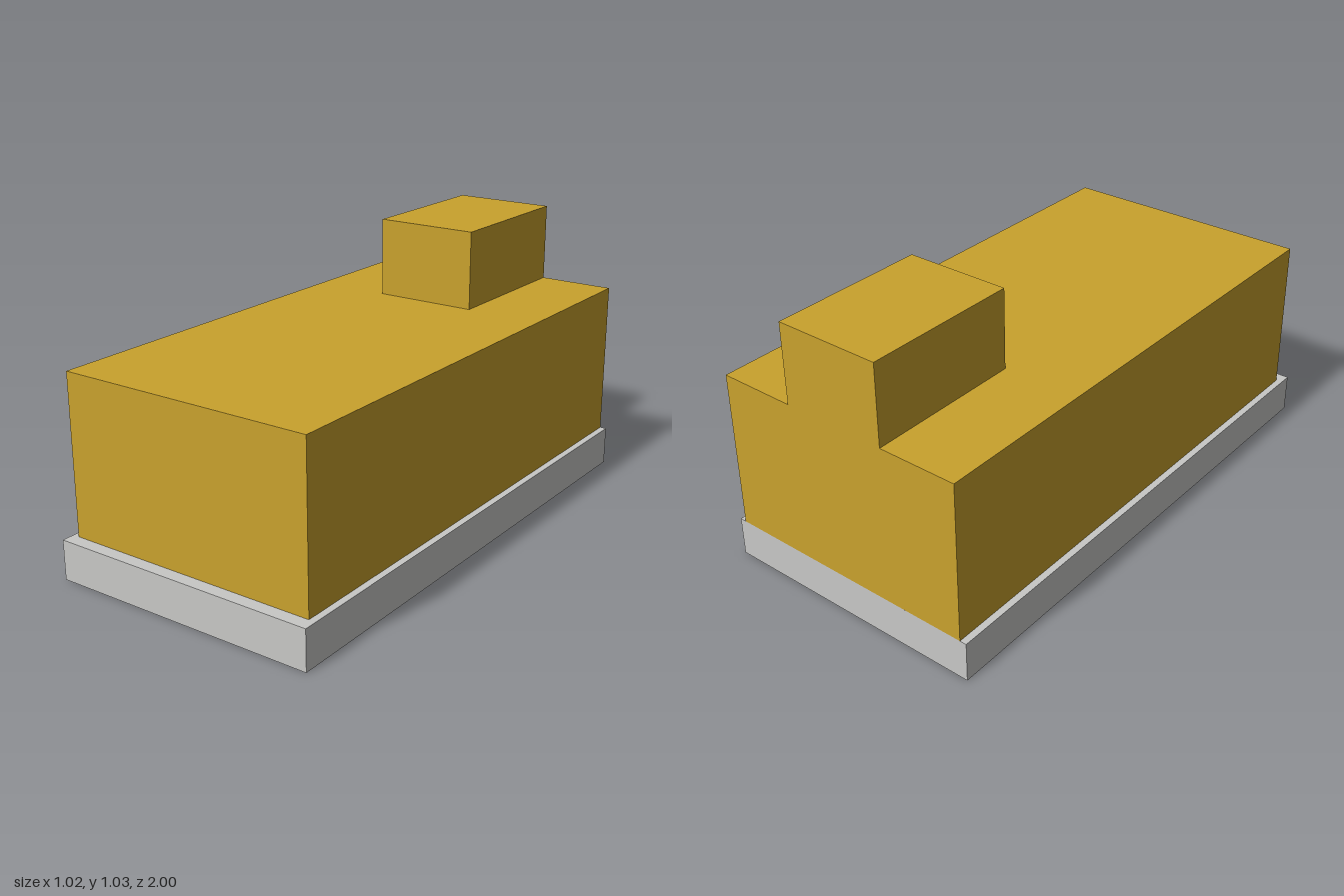
import * as THREE from 'three';

const ochre = new THREE.MeshStandardMaterial({ color: 0xc9a22d });
ochre.name = 'ochre';
const paleGrey = new THREE.MeshStandardMaterial({ color: 0xc8c8c6 });
paleGrey.name = 'pale grey';

const BACK = -1; // every block ends flush at the back

// Block centred on x, given its width, bottom, top and front
function block(name, width, bottom, top, front, material) {
  const geometry = new THREE.BoxGeometry(width, top - bottom, front - BACK);
  const mesh = new THREE.Mesh(geometry, material);
  mesh.name = name;
  mesh.position.set(0, (bottom + top) / 2, (front + BACK) / 2);
  return mesh;
}

export function createModel() {
  const model = new THREE.Group();
  model.name = 'steppedBuilding';
  model.add(
    block('plinth', 1.022, 0, 0.147, 1, paleGrey),
    block('mainHall', 0.972, 0.147, 0.733, 0.952, ochre),
    block('rearTower', 0.392, 0.733, 1.026, -0.415, ochre),
  );
  return model;
}
